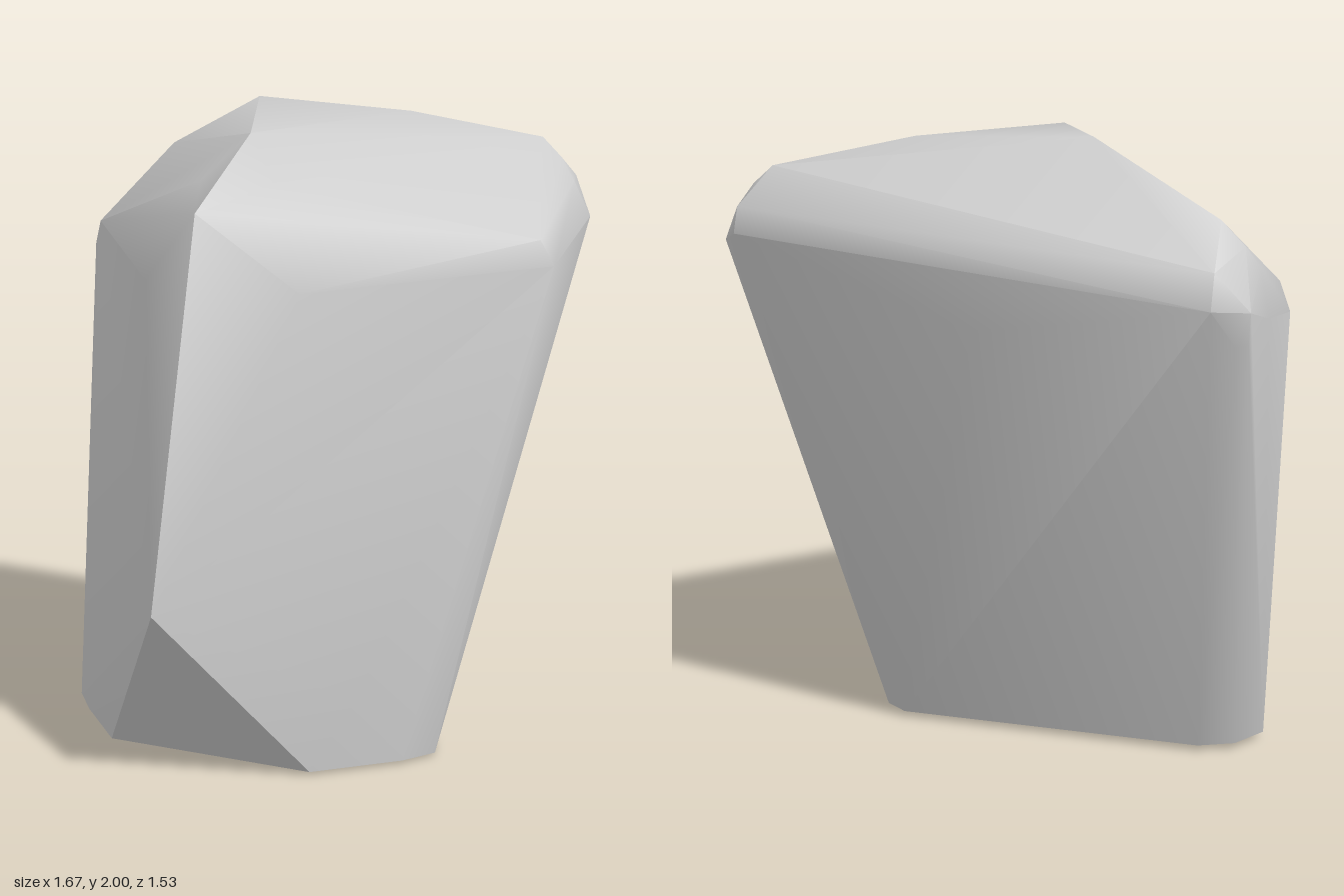
import * as THREE from 'three';
import { ConvexGeometry } from 'three/addons/geometries/ConvexGeometry.js';
import { toCreasedNormals } from 'three/addons/utils/BufferGeometryUtils.js';

// Corners of the boulder, grouped by region: [x, y, z]
const corners = {
  frontRidge: [[-0.08, 0.56, 0.765], [-0.05, 1.72, 0.52], [-0.03, 1.93, 0.18]],
  frontBulges: [
    [-0.3, 1.49, 0.36], [0.22, 1.48, 0.375], [0.37, 0.22, 0.3],
    [-0.15, 1.79, 0.28], [0.1, 1.79, 0.3],
  ],
  crown: [[-0.28, 2, -0.42], [0.27, 1.97, -0.38]],
  leftShoulder: [
    [0.66, 1.89, -0.53], [0.73, 1.83, -0.51], [0.76, 1.77, -0.57], [0.77, 1.69, -0.58],
    [0.79, 1.76, -0.46], [0.835, 1.65, -0.49], [0.785, 1.61, -0.15], [0.825, 1.53, -0.17],
  ],
  rightShoulder: [
    [-0.69, 1.82, -0.6], [-0.76, 1.75, -0.6], [-0.8, 1.69, -0.58], [-0.7, 1.7, -0.73],
    [-0.7, 1.6, -0.77], [-0.8, 1.59, -0.71], [-0.83, 1.55, -0.6], [-0.8, 1.58, -0.27],
    [-0.84, 1.5, -0.31], [-0.76, 1.49, -0.71], [-0.79, 1.49, -0.68],
  ],
  back: [[0.025, 1.46, -0.63]],
  foot: [
    [-0.44, 0.01, 0.36], [0.26, 0.01, 0.385], [0.48, 0.01, 0.17], [0.545, 0.01, 0.06],
    [0.5, 0.01, -0.07], [0.42, 0.02, -0.14], [-0.56, 0.02, -0.14], [-0.67, 0.02, -0.09],
    [-0.74, 0.02, 0.02], [-0.65, 0.01, 0.13], [-0.5, 0, 0.12], [0, 0, 0.2],
  ],
};

export function createModel() {
  const group = new THREE.Group();
  group.name = 'boulder';

  // Convex stone: gentle facets blend, strong ridges stay sharp
  const points = Object.values(corners).flat().map((p) => new THREE.Vector3(...p));
  const geometry = toCreasedNormals(new ConvexGeometry(points), 0.7);
  const stone = new THREE.Mesh(geometry, new THREE.MeshStandardMaterial({ color: 0xcccccc }));
  stone.name = 'stone';
  group.add(stone);
  return group;
}
